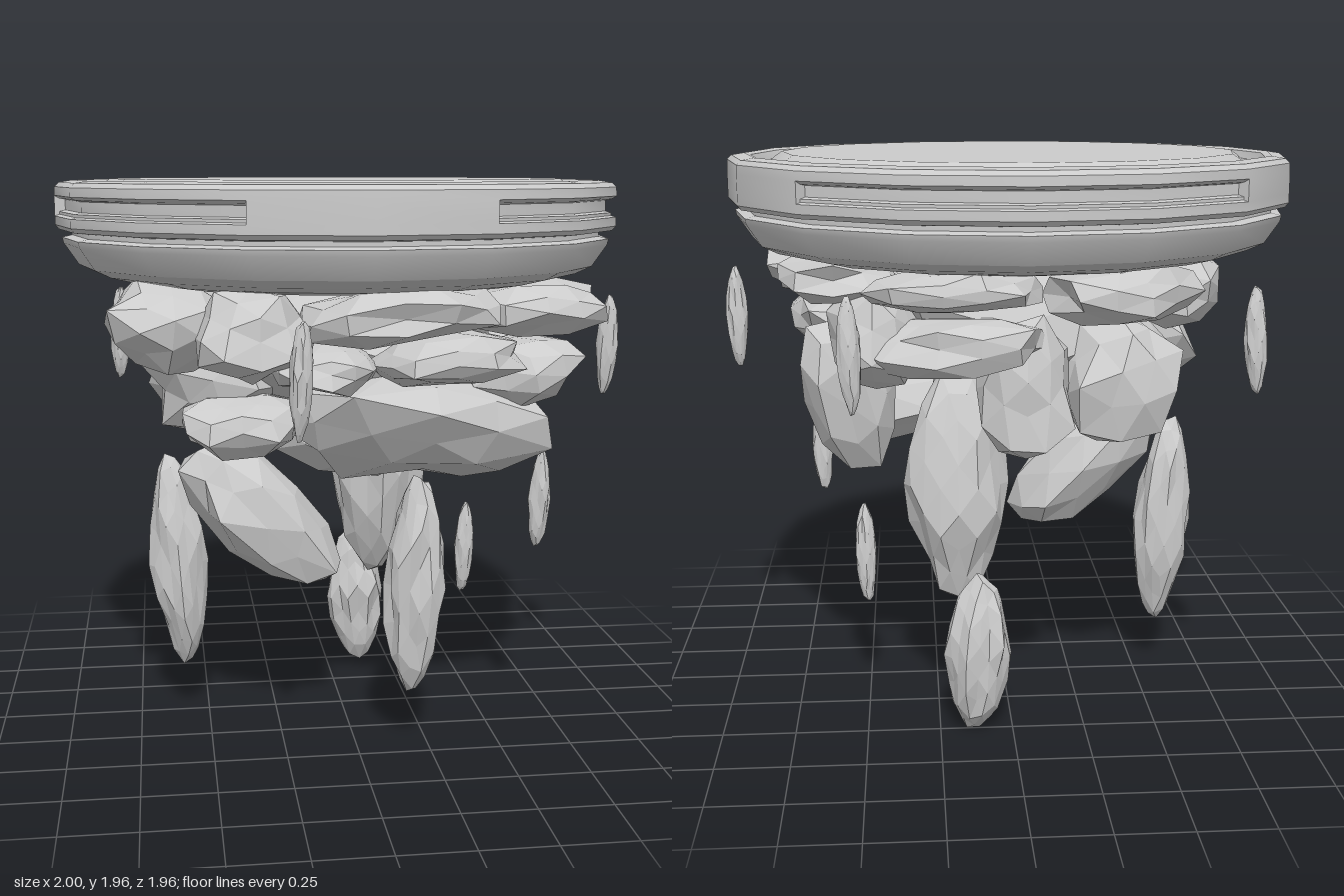
import * as THREE from 'three';
import { mergeGeometries, toCreasedNormals } from 'three/addons/utils/BufferGeometryUtils.js';

const stone = new THREE.MeshStandardMaterial({ color: 0xcccccc });
const rockMat = new THREE.MeshStandardMaterial({ color: 0xcccccc, flatShading: true });
const CX = -0.02; // platform axis
const rad = THREE.MathUtils.degToRad;

// repeatable value in -1..1 from a point and a seed
function hash(x, y, z, seed) {
  const s = Math.sin(x * 127.1 + y * 311.7 + z * 74.7 + seed * 19.19) * 43758.5453;
  return (s - Math.floor(s)) * 2 - 1;
}

// chiselled rock: lumpy ellipsoid; taper > 0 gives a slimmer, longer form
function rock(parent, name, pos, size, { seed = 1, tilt = [0, 0, 0], detail = 1, taper = 0, rough = 0.16 } = {}) {
  const g = new THREE.IcosahedronGeometry(1, detail);
  const p = g.attributes.position;
  const v = new THREE.Vector3();
  for (let i = 0; i < p.count; i++) {
    v.fromBufferAttribute(p, i);
    const k = v.toArray().map((c) => Math.round(c * 100) / 100);
    const pow = (n) => Math.abs(n) ** 3;
    const box = taper ? 1 : 1 / Math.cbrt(pow(v.x) + pow(v.y) + pow(v.z));
    const n = box * (0.95 + rough * hash(k[0], k[1], k[2], seed));
    const narrow = 1 - taper * v.y * v.y;
    const rise = taper ? 1 + 0.06 * hash(k[2], k[0], k[1], seed) : n;
    v.set(v.x * n * narrow, v.y * rise, v.z * n * narrow);
    p.setXYZ(i, v.x * size[0], v.y * size[1], v.z * size[2]);
  }
  g.computeVertexNormals();
  const m = new THREE.Mesh(g, rockMat);
  m.name = name;
  m.position.set(...pos);
  m.rotation.set(...tilt);
  parent.add(m);
}

function buildPlatform() {
  const platform = new THREE.Group();
  platform.name = 'platform';
  const pts = (a) => a.map(([r, y]) => new THREE.Vector2(r, y));
  const lathe = (profile, start, length) =>
    new THREE.LatheGeometry(pts(profile), Math.round(length / 22.5), rad(start), rad(length));

  // underside, lower lip and the groove under the rim
  const lower = [[0, 1.6], [0.66, 1.605], [0.76, 1.62], [0.85, 1.642], [0.905, 1.668], [0.955, 1.742],
    [0.96, 1.762], [0.925, 1.77], [0.925, 1.785], [0.97, 1.79], [0.982, 1.805], [0.982, 1.835]];
  // rounded rim top, ring groove and the raised floor
  const upper = [[0.982, 1.905], [0.98, 1.935], [0.965, 1.95], [0.92, 1.957], [0.9, 1.95], [0.885, 1.925],
    [0.845, 1.92], [0.835, 1.925], [0.815, 1.945], [0.79, 1.962], [0, 1.962]];
  const plain = [[0.982, 1.835], [0.982, 1.905]];
  const slot = [[0.982, 1.835], [0.965, 1.84], [0.965, 1.85], [0.945, 1.855], [0.945, 1.89], [0.965, 1.895], [0.982, 1.905]];

  const parts = [lathe(lower, 0, 360), lathe(upper, 0, 360)];
  const slots = [[22.5, 67.5], [135, 90], [270, 67.5]];
  const gaps = [[90, 45], [225, 45], [337.5, 45]];
  slots.forEach((a) => parts.push(lathe(slot, ...a)));
  gaps.forEach((a) => parts.push(lathe(plain, ...a)));
  const body = new THREE.Mesh(toCreasedNormals(mergeGeometries(parts), 0.5), stone);
  body.name = 'platformBody';
  platform.add(body);

  // end walls closing each slot
  const wallMat = stone.clone();
  wallMat.side = THREE.DoubleSide;
  for (const [start, length] of slots) {
    for (const a of [start, start + length]) {
      const wall = new THREE.Mesh(new THREE.ShapeGeometry(new THREE.Shape(pts(slot))), wallMat);
      wall.name = 'slotEnd';
      wall.rotation.y = rad(a - 90);
      platform.add(wall);
    }
  }
  platform.position.x = CX;
  return platform;
}

export function createModel() {
  const model = new THREE.Group();
  model.add(buildPlatform());

  // boulders under the platform: [position, size, tilt]
  const boulders = new THREE.Group();
  boulders.name = 'boulders';
  const upperRing = [
    [[0.1, 1.54, 0.62], [0.32, 0.09, 0.2], [0, 0, 0.08]],
    [[0.62, 1.53, 0.32], [0.24, 0.09, 0.22], [0, 0, 0.05]],
    [[-0.63, 1.49, 0.42], [0.19, 0.15, 0.21], [0, -0.4, -0.1]],
    [[-0.36, 1.47, 0.57], [0.19, 0.14, 0.18], [0, 0.1, 0]],
    [[0.58, 1.56, -0.25], [0.2, 0.08, 0.28], [0.06, 0, 0]],
    [[0.2, 1.55, -0.56], [0.28, 0.07, 0.18], [0, -0.2, 0]],
    [[-0.35, 1.53, -0.5], [0.25, 0.1, 0.19], [0, 0.5, 0]],
    [[-0.6, 1.49, -0.08], [0.17, 0.12, 0.27], [0, 0, -0.1]],
  ];
  const middleRing = [
    [[0.28, 1.385, 0.54], [0.25, 0.08, 0.19], [0, 0, 0.08]],
    [[0.59, 1.32, 0.28], [0.2, 0.11, 0.23], [0, 0, 0.25]],
    [[-0.12, 1.36, 0.52], [0.17, 0.08, 0.2], [0, 0, 0]],
    [[-0.39, 1.15, 0.36], [0.19, 0.1, 0.18], [0, 0, 0.05]],
    [[-0.48, 1.3, 0.1], [0.22, 0.19, 0.28], [0, 0, 0.3]],
    [[0.45, 1.37, -0.39], [0.16, 0.16, 0.16], [0, 0.5, 0]],
    [[0.2, 1.35, -0.5], [0.3, 0.1, 0.16], [0.15, -0.35, 0]],
  ];
  const large = [
    [[0, 1.4, 0], [0.52, 0.25, 0.46], [0, 0, 0]],
    [[0.25, 1.12, 0.26], [0.46, 0.18, 0.33], [-0.25, 0, 0]],
    [[0.55, 1.14, -0.18], [0.15, 0.28, 0.14], [-0.2, 0, -0.2]],
    [[-0.04, 1.21, -0.47], [0.16, 0.23, 0.15], [0.3, 0, 0]],
    [[-0.36, 1.22, -0.34], [0.2, 0.24, 0.19], [0.25, 0, 0.3]],
    [[0, 1.11, -0.02], [0.3, 0.2, 0.28], [0, 0, 0]],
  ];
  [[upperRing, 'upperBoulder'], [middleRing, 'middleBoulder'], [large, 'largeBoulder']].forEach(([list, name], k) =>
    list.forEach(([pos, size, tilt], i) => rock(boulders, name, pos, size, { tilt, seed: 3 + i + 10 * k })));
  model.add(boulders);

  // hanging rocks
  const hanging = new THREE.Group();
  hanging.name = 'hangingRocks';
  rock(hanging, 'leaningRock', [-0.3, 0.78, 0.19], [0.16, 0.34, 0.15], { tilt: [0, 0, 0.75], seed: 5 });
  rock(hanging, 'longRock', [0.18, 0.85, -0.31], [0.18, 0.42, 0.16], { tilt: [0.06, 0, 0], seed: 8, taper: 0.15, detail: 2 });
  const spikes = [
    [[-0.6, 0.59, 0.02], [0.105, 0.39, 0.1], [0, 0, 0.07]],
    [[0.2, 0.59, 0.43], [0.105, 0.39, 0.11], [0, 0, -0.03]],
    [[0.12, 0.285, -0.5], [0.115, 0.285, 0.105], [0, 0, 0.06]],
  ];
  spikes.forEach(([pos, size, tilt], i) =>
    rock(hanging, 'hangingSpike', pos, size, { tilt, seed: 20 + i, taper: 0.12, detail: 2 }));
  model.add(hanging);

  // small floating shards
  const shards = new THREE.Group();
  shards.name = 'floatingShards';
  const spots = [[0.96, 1.37, 0.1], [-0.8, 1.37, -0.52], [-0.235, 1.37, 0.88],
    [0.525, 1.37, -0.72], [0.675, 0.84, 0.27], [0.505, 0.55, -0.18]];
  spots.forEach((pos, i) =>
    rock(shards, 'shard', pos, [0.039, 0.185, 0.036], { seed: 40 + i, tilt: [0.05, 0, -0.03], taper: 0.12, detail: 2, rough: 0.14 }));
  model.add(shards);
  return model;
}
